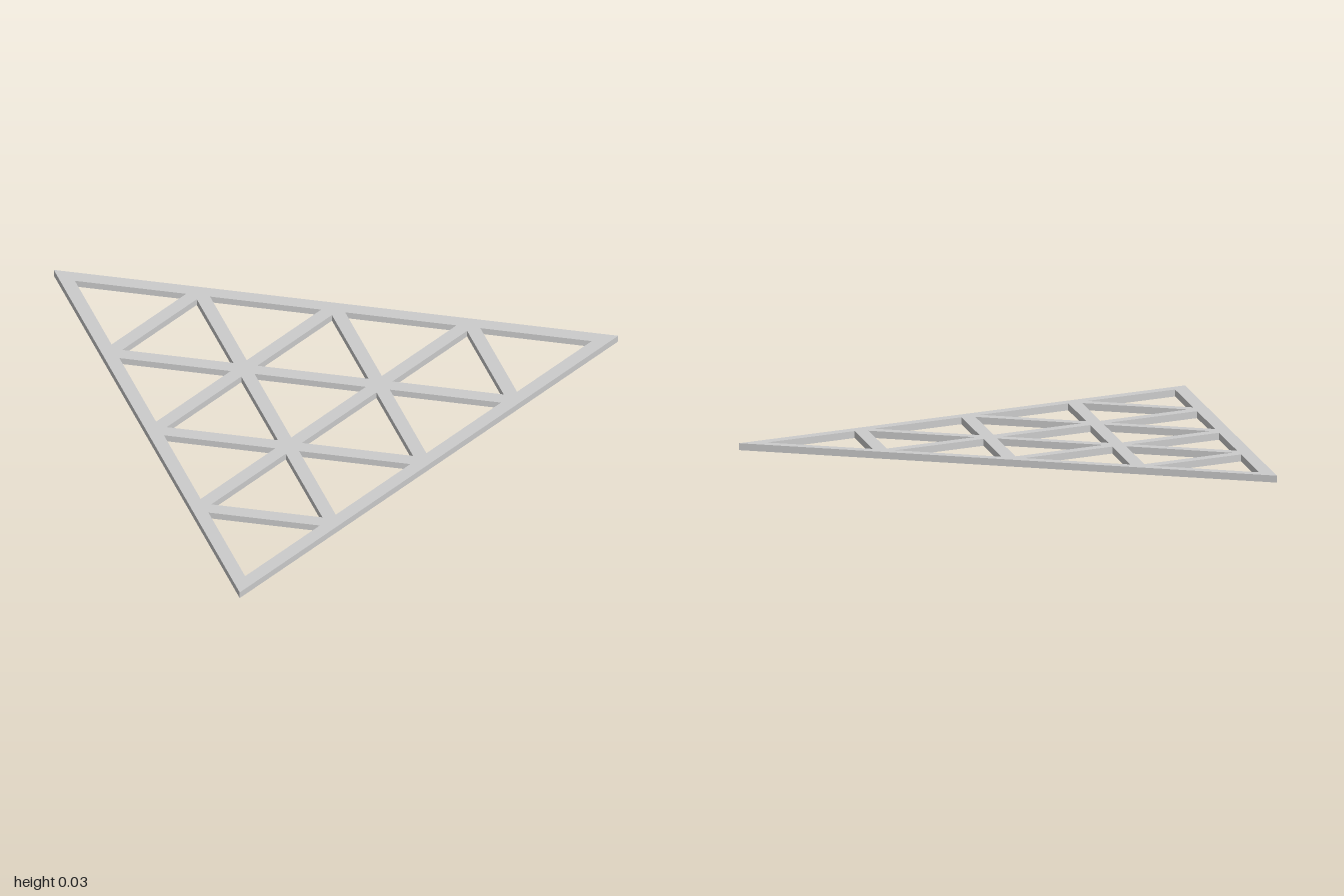
import * as THREE from 'three';

const BAR = 0.05; // bar width
const THICK = 0.025;
const ROWS = 4; // lattice cells along each side

// Scale a triangle about its centre so each side moves inwards by d
function inset(tri, d) {
  const c = tri[0].clone().add(tri[1]).add(tri[2]).divideScalar(3);
  const inradius = tri[0].distanceTo(tri[1]) / (2 * Math.sqrt(3));
  return tri.map((p) => p.clone().sub(c).multiplyScalar(1 - d / inradius).add(c));
}

export function createModel() {
  const group = new THREE.Group();
  group.name = 'triangularLattice';

  // Outer equilateral outline in plan (x, z)
  const corners = [[-0.98, -0.395], [0.98, -1], [0.524, 1]].map((p) => new THREE.Vector2(...p));
  const shape = new THREE.Shape(corners);

  // Lattice nodes lie on the centre lines of the frame bars
  const [a, b, c] = inset(corners, BAR / 2);
  const u = b.clone().sub(a).divideScalar(ROWS);
  const v = c.clone().sub(a).divideScalar(ROWS);
  const node = (i, j) => a.clone().addScaledVector(u, i).addScaledVector(v, j);
  const addHole = (tri) => shape.holes.push(new THREE.Path(inset(tri, BAR / 2)));

  // One triangular opening per cell, in both orientations
  for (let i = 0; i < ROWS; i++) {
    for (let j = 0; i + j < ROWS; j++) {
      addHole([node(i, j), node(i + 1, j), node(i, j + 1)]);
      if (i + j < ROWS - 1) addHole([node(i + 1, j), node(i + 1, j + 1), node(i, j + 1)]);
    }
  }

  // Lay the plate flat on the ground
  const geometry = new THREE.ExtrudeGeometry(shape, { depth: THICK, bevelEnabled: false });
  geometry.rotateX(Math.PI / 2).translate(0, THICK, 0);
  const lattice = new THREE.Mesh(geometry, new THREE.MeshStandardMaterial({ color: 0xcccccc }));
  lattice.name = 'latticeFrame';
  group.add(lattice);
  return group;
}
